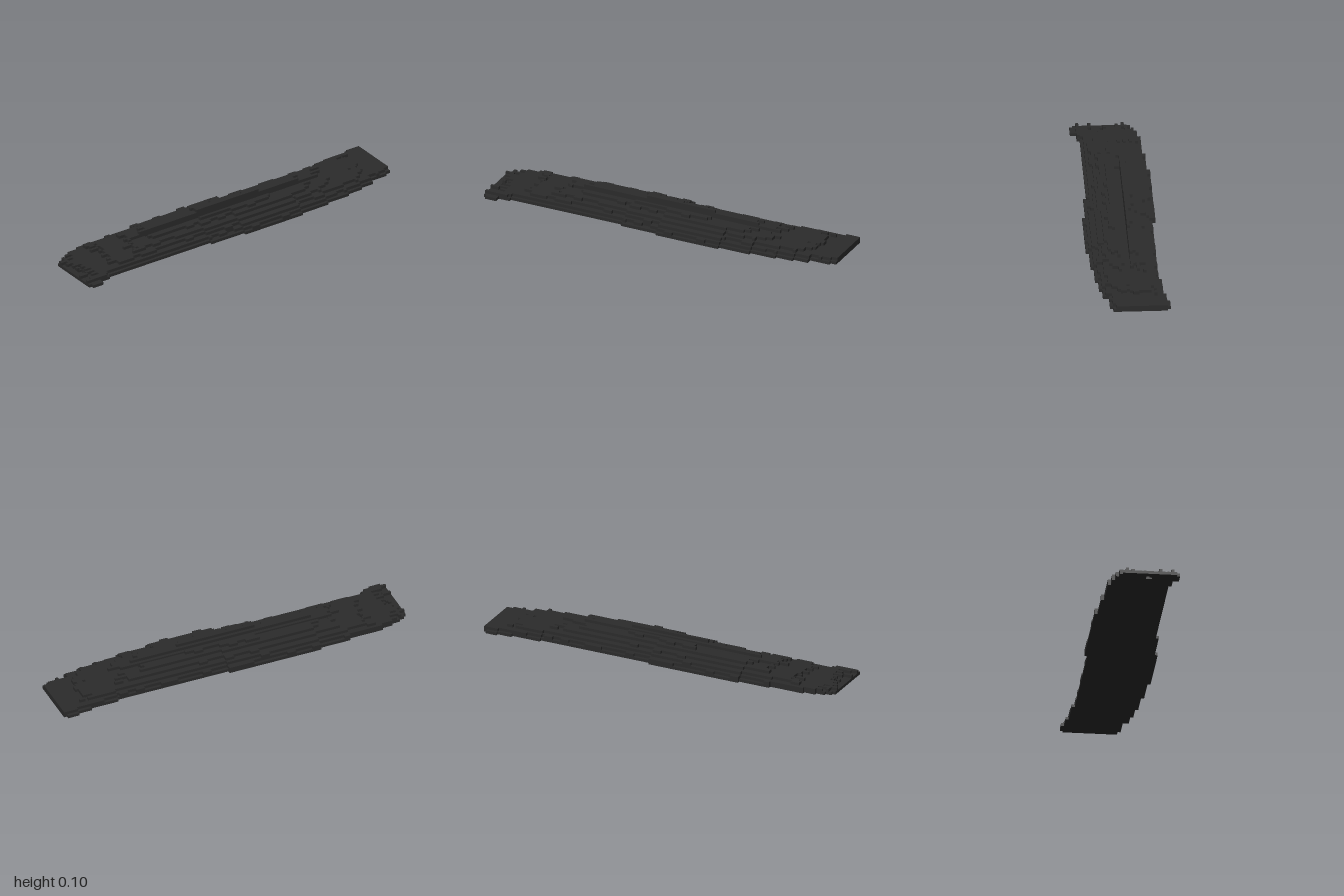
import * as THREE from 'three';
import { mergeGeometries } from 'three/addons/utils/BufferGeometryUtils.js';

const NX = 126, NZ = 27, S = 2 / NX;

// Stepped outline: [x where the step ends, edge z]
const BACK = [[-0.985, -0.09], [-0.95, -0.11], [-0.9, -0.125], [-0.84, -0.14], [-0.65, -0.155],
  [-0.48, -0.17], [0.04, -0.187], [0.68, -0.17], [0.84, -0.187], [0.92, -0.2], [0.98, -0.215], [2, -0.2]];
const FRONT = [[-0.985, 0.2], [-0.92, 0.215], [-0.88, 0.19], [-0.86, 0.175], [-0.2, 0.16], [0, 0.175],
  [0.365, 0.2], [0.54, 0.175], [0.68, 0.16], [0.77, 0.145], [0.86, 0.13], [0.92, 0.11], [0.97, 0.1], [2, 0.085]];
// Ridge height in layers along the length, and rise in layers inward from the edge
const CREST = [[-0.95, 1], [-0.78, 2], [-0.62, 3], [-0.49, 4], [-0.175, 5], [0.235, 6], [0.49, 5], [0.62, 4], [0.84, 3], [2, 2]];
const RISE = [[0.012, 1], [0.033, 2], [0.064, 3], [0.098, 4], [0.125, 5], [2, 6]];

const step = (table, v) => table.find(([end]) => v < end)[1];

function seeded(seed) {
  return () => {
    seed = (seed * 1664525 + 1013904223) >>> 0;
    return seed / 4294967296;
  };
}

// Number of layers in every cell
function heightMap() {
  const random = seeded(7);
  const jitter = Array.from({ length: NZ }, () => Array.from({ length: NX / 3 }, () => random() - 0.5));
  const map = [];
  for (let j = 0; j < NZ; j++) {
    map.push([]);
    for (let i = 0; i < NX; i++) {
      const x = -1 + (i + 0.5) * S, z = (j - 13) * S;
      const edge = Math.min(z - step(BACK, x), step(FRONT, x) - z);
      const hole = x > -0.97 && x < -0.935 && z > 0.035 && z < (x > -0.95 ? 0.07 : 0.055);
      if (edge < 0 || hole) { map[j].push(0); continue; }
      const n = jitter[j][Math.floor(i / 3)];
      // Ragged steps, rougher towards both ends
      const crest = step(CREST, x + n * (0.02 + 0.1 * Math.abs(x)));
      let h = Math.min(crest, step(RISE, edge + n * 0.012));
      // Groove between the two ridges
      if (Math.abs(x) < 0.62 + n * 0.15) {
        if (z > -0.025 && z < 0.012) h = Math.min(h, Math.abs(x) < 0.5 ? 2 : 3);
        else if (z >= 0.012 && z < 0.025) h = Math.min(h, 4);
        else if (z >= 0.025 && z < 0.04) h = Math.min(h, 5);
      }
      map[j].push(h);
    }
  }
  return map;
}

// One layer, built of bars that each span a run of filled cells
function layerGeometry(map, level) {
  const bars = [];
  map.forEach((row, j) => {
    for (let i = 0; i < NX; i++) {
      if (row[i] < level) continue;
      const start = i;
      while (i < NX && row[i] >= level) i++;
      const bar = new THREE.BoxGeometry((i - start) * S, S, S);
      bar.translate(-1 + (start + i) * S / 2, (level - 0.5) * S, (j - 13) * S);
      bars.push(bar);
    }
  });
  return mergeGeometries(bars);
}

export function createModel() {
  const group = new THREE.Group();
  group.name = 'steppedSlab';
  const charcoal = new THREE.MeshStandardMaterial({ color: 0x2b2b2b });
  charcoal.name = 'charcoal';
  const map = heightMap();
  const names = ['baseSlab', 'lowerTerrace', 'middleTerrace', 'lowerRidges', 'upperRidges', 'ridgeCrests'];
  names.forEach((name, k) => {
    const mesh = new THREE.Mesh(layerGeometry(map, k + 1), charcoal);
    mesh.name = name;
    group.add(mesh);
  });
  return group;
}
